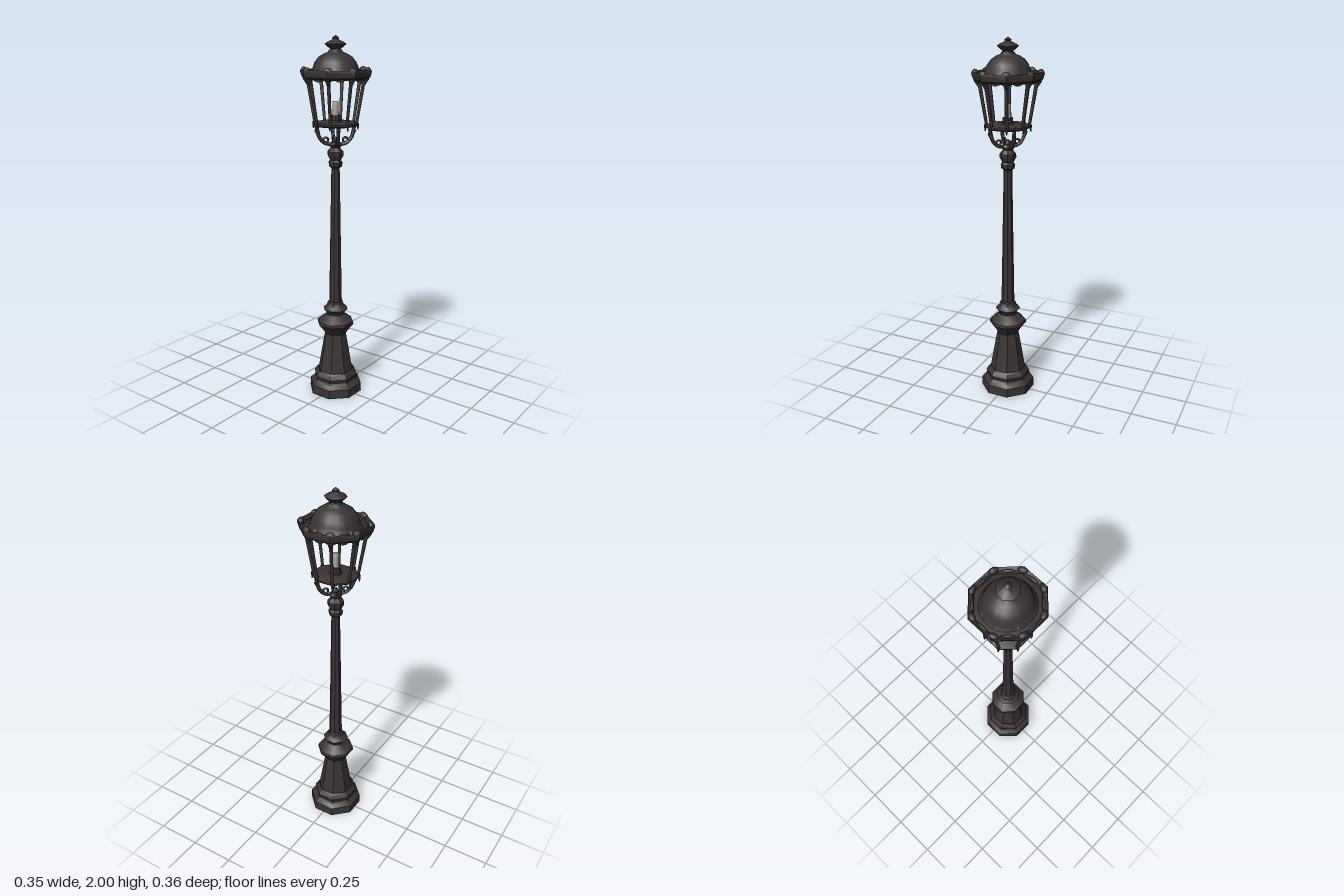
import * as THREE from 'three';
import { toCreasedNormals } from 'three/addons/utils/BufferGeometryUtils.js';

export function createModel() {
  const iron = new THREE.MeshStandardMaterial({ color: 0x3a3334, side: THREE.DoubleSide });
  iron.name = 'dark iron';
  const wax = new THREE.MeshStandardMaterial({ color: 0xa89c8a });
  wax.name = 'pale candle';

  const model = new THREE.Group();
  model.name = 'streetLamp';
  const lantern = new THREE.Group();
  lantern.name = 'lantern';
  lantern.scale.z = 1.03;
  model.add(lantern);

  const add = (parent, name, geometry, material = iron) => {
    const mesh = new THREE.Mesh(geometry, material);
    mesh.name = name;
    parent.add(mesh);
    return mesh;
  };
  // Turned part: profile of [radius, height], flat sides facing the axes
  const turned = (parent, name, profile, sides = 8, crease = 0.6, material = iron) => {
    const g = new THREE.LatheGeometry(profile.map(([r, y]) => new THREE.Vector2(r, y)), sides);
    g.rotateY(Math.PI / sides);
    return add(parent, name, toCreasedNormals(g, crease), material);
  };
  // Straight bar between two points
  const bar = (parent, name, a, b, r0, r1) => {
    const d = b.clone().sub(a);
    const m = add(parent, name, new THREE.CylinderGeometry(r1, r0, d.length(), 6));
    m.position.copy(a).addScaledVector(d, 0.5);
    m.quaternion.setFromUnitVectors(new THREE.Vector3(0, 1, 0), d.normalize());
    return m;
  };
  const polar = (angle, r, y) => new THREE.Vector3(Math.cos(angle) * r, y, Math.sin(angle) * r);

  // Post
  turned(model, 'plinth', [[0, 0], [0.152, 0], [0.15, 0.05], [0.128, 0.068], [0.121, 0.08],
    [0.126, 0.1], [0.112, 0.122], [0.104, 0.13]], 8);
  turned(model, 'pedestal', [[0.1, 0.125], [0.084, 0.22], [0.061, 0.35], [0.07, 0.365],
    [0.105, 0.41], [0.102, 0.425], [0.07, 0.45], [0.05, 0.465]], 8);
  turned(model, 'lowerCollar', [[0.045, 0.46], [0.05, 0.475], [0.071, 0.497], [0.05, 0.515],
    [0.044, 0.535], [0.036, 0.54]], 8);
  turned(model, 'shaft', [[0.037, 0.53], [0.032, 0.8], [0.027, 1.1], [0.023, 1.32]], 8);
  turned(model, 'upperCollar', [[0.024, 1.305], [0.036, 1.315], [0.039, 1.337], [0.03, 1.348],
    [0.045, 1.375], [0.044, 1.395], [0.027, 1.415], [0.035, 1.43], [0.026, 1.445], [0, 1.447]], 8);
  turned(model, 'neckKnob', [[0.012, 1.43], [0.018, 1.45], [0.008, 1.468], [0, 1.475]], 8);

  // Four curved arms on the diagonals carrying the lantern floor
  for (let i = 0; i < 4; i++) {
    const a = Math.PI / 4 + i * Math.PI / 2;
    const path = new THREE.CatmullRomCurve3([[0.02, 1.43], [0.06, 1.442], [0.085, 1.47],
      [0.095, 1.505], [0.1, 1.535]].map(([r, y]) => polar(a, r, y)));
    add(lantern, 'supportArm', new THREE.TubeGeometry(path, 12, 0.01, 6));
    // scroll and leaf on each arm
    const scroll = add(lantern, 'armScroll', new THREE.TorusGeometry(0.013, 0.006, 6, 10));
    scroll.position.copy(polar(a, 0.052, 1.457));
    scroll.rotation.y = -a;
    bar(lantern, 'armLeaf', polar(a, 0.089, 1.485), polar(a, 0.108, 1.51), 0.011, 0.005);
  }

  // Lantern floor
  turned(lantern, 'lanternFloor', [[0, 1.53], [0.108, 1.53], [0.121, 1.538], [0.121, 1.547],
    [0.11, 1.553], [0, 1.553]], 8);

  // Eight cage bars with drops, tip blocks and crest leaves at the corners
  for (let i = 0; i < 8; i++) {
    const a = Math.PI / 8 + i * Math.PI / 4;
    bar(lantern, 'cageBar', polar(a, 0.111, 1.54), polar(a, 0.152, 1.79), 0.008, 0.0105);
    bar(lantern, 'cornerDrop', polar(a, 0.12, 1.515), polar(a, 0.118, 1.55), 0.003, 0.009);
    bar(lantern, 'barBracket', polar(a, 0.144, 1.745), polar(a, 0.165, 1.785), 0.009, 0.015);

    const crest = add(lantern, 'cornerCrest', new THREE.SphereGeometry(1, 8, 6));
    crest.scale.set(0.016, 0.019, 0.026);
    crest.position.copy(polar(a, 0.17, 1.82));
    crest.rotation.y = -a;

    // Scalloped valance and crest scroll on each flat side
    const side = a + Math.PI / 8;
    const edge = new THREE.Shape();
    edge.moveTo(-0.062, 0.03);
    edge.lineTo(-0.062, -0.012);
    edge.quadraticCurveTo(-0.035, 0.016, -0.02, 0.003);
    edge.quadraticCurveTo(0, -0.008, 0.02, 0.003);
    edge.quadraticCurveTo(0.035, 0.016, 0.062, -0.012);
    edge.lineTo(0.062, 0.03);
    const g = new THREE.ExtrudeGeometry(edge, { depth: 0.008, bevelEnabled: false });
    const valance = add(lantern, 'valance', g);
    valance.position.copy(polar(side, 0.142, 1.768));
    valance.rotation.y = Math.PI / 2 - side;

    const scroll = add(lantern, 'sideCrest', new THREE.SphereGeometry(1, 8, 6));
    scroll.scale.set(0.008, 0.01, 0.034);
    scroll.position.copy(polar(side, 0.157, 1.815));
    scroll.rotation.y = -side;
  }

  // Roof: octagonal rim, smooth dome and finial
  turned(lantern, 'roofRim', [[0, 1.786], [0.165, 1.778], [0.181, 1.786], [0.19, 1.815],
    [0.187, 1.825], [0.17, 1.818], [0.162, 1.8], [0.135, 1.803], [0.12, 1.82]], 8);
  turned(lantern, 'dome', [[0.135, 1.8], [0.123, 1.815], [0.118, 1.835], [0.108, 1.862],
    [0.088, 1.888], [0.06, 1.906], [0.04, 1.913], [0.034, 1.925]], 16, 1.2);
  turned(lantern, 'finial', [[0.036, 1.91], [0.026, 1.928], [0.045, 1.943], [0.057, 1.955],
    [0.045, 1.964], [0.022, 1.974], [0.016, 1.979], [0.018, 1.986], [0, 2]], 8);

  // Lamp holder and candle
  turned(lantern, 'lampHolder', [[0.036, 1.55], [0.034, 1.56], [0.028, 1.563], [0.028, 1.588],
    [0, 1.588]], 10);
  turned(lantern, 'candle', [[0.018, 1.585], [0.017, 1.655], [0.012, 1.662], [0, 1.662]], 10, 0.7, wax);

  return model;
}
